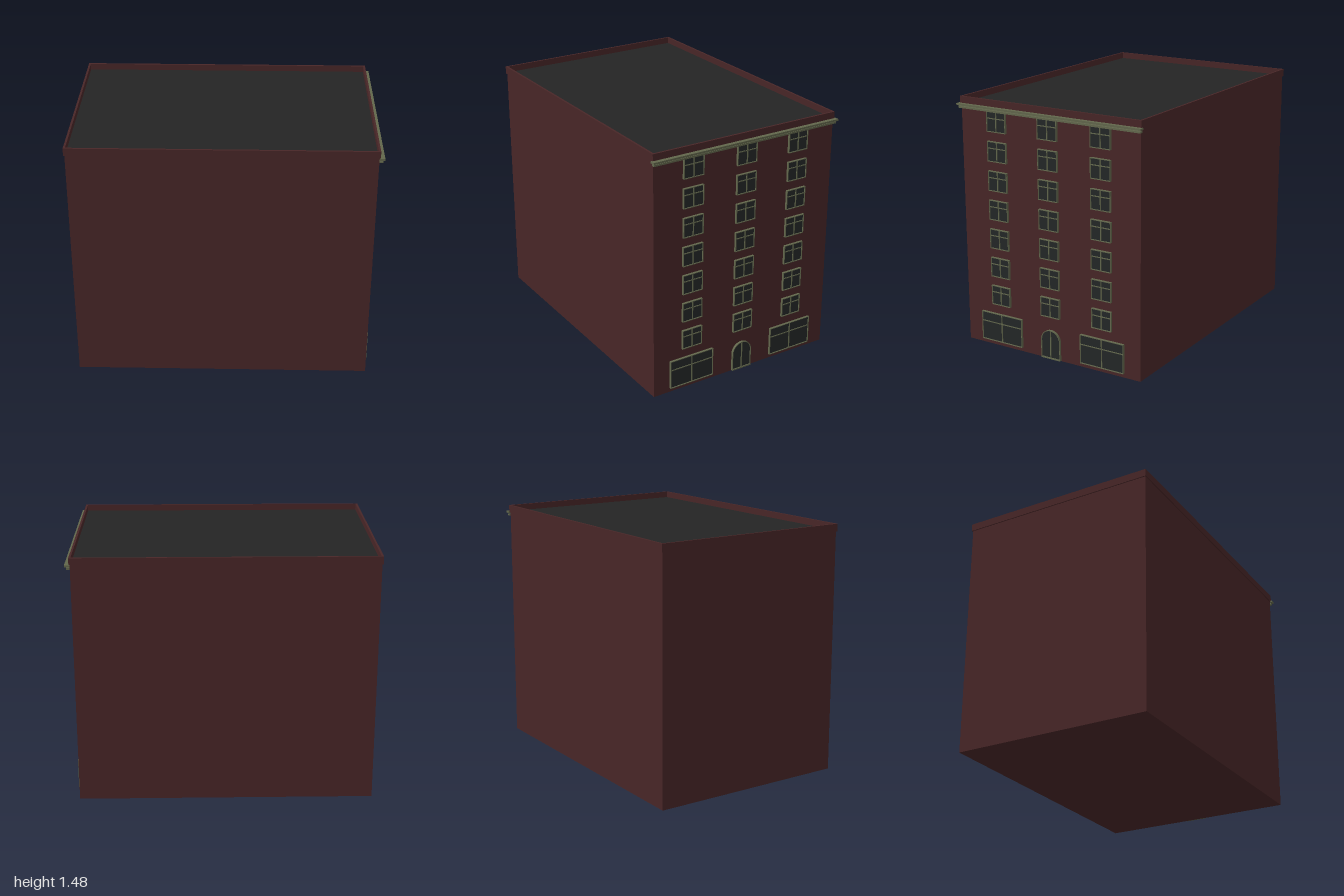
import * as THREE from 'three';

const material = (name, color) => {
  const m = new THREE.MeshStandardMaterial({ color });
  m.name = name;
  return m;
};

export function createModel() {
  const brick = material('dark red brick', 0x482627);
  const roofing = material('charcoal roof', 0x242424);
  const glass = material('dark glass', 0x242727);
  const trim = material('olive trim', 0x62674c);

  const model = new THREE.Group();
  model.name = 'apartmentBuilding';

  // The building stands turned about the vertical axis
  const building = new THREE.Group();
  building.name = 'building';
  building.rotation.y = -0.2425;
  building.position.set(-0.015, 0, -0.01);
  model.add(building);

  const add = (parent, name, geometry, mat, x = 0, y = 0, z = 0) => {
    const mesh = new THREE.Mesh(geometry, mat);
    mesh.name = name;
    mesh.position.set(x, y, z);
    parent.add(mesh);
    return mesh;
  };
  const box = (parent, name, mat, w, h, d, x, y, z) =>
    add(parent, name, new THREE.BoxGeometry(w, h, d), mat, x, y, z);

  // Walls and sunken roof
  const halfL = 0.86, halfW = 0.595;
  box(building, 'walls', brick, halfL * 2, 1.432, halfW * 2, 0, 0.716, 0);
  box(building, 'roof', roofing, 1.71, 0.006, 1.18, 0, 1.435, 0);

  // Parapet: a slightly overhanging ring
  const rectangle = (Type, a, b) => new Type([[-a, -b], [a, -b], [a, b], [-a, b]]
    .map(([x, y]) => new THREE.Vector2(x, y)));
  const ring = rectangle(THREE.Shape, 0.866, 0.601);
  ring.holes.push(rectangle(THREE.Path, 0.854, 0.589));
  const parapetGeometry = new THREE.ExtrudeGeometry(ring, { depth: 0.045, bevelEnabled: false });
  parapetGeometry.rotateX(-Math.PI / 2);
  add(building, 'parapet', parapetGeometry, brick, 0, 1.43, 0);

  // Facade group: x runs along the wall, z points outward
  const facade = new THREE.Group();
  facade.name = 'facade';
  facade.rotation.y = Math.PI / 2;
  facade.position.x = halfL;
  building.add(facade);

  // Two-step cornice
  box(facade, 'upperCornice', trim, 1.22, 0.011, 0.03, 0, 1.431, 0.015);
  box(facade, 'lowerCornice', trim, 1.205, 0.01, 0.02, 0, 1.414, 0.01);

  // Rectangular window with frame, mullion and transom
  const depth = 0.014;
  const makeWindow = (name, x, bottom, w, h, transom) => {
    const g = new THREE.Group();
    g.name = name;
    g.position.set(x, bottom, 0);
    facade.add(g);
    const t = 0.004;
    box(g, 'pane', glass, w - t, h - t, 0.008, 0, h / 2, 0.004);
    for (const s of [-1, 1]) {
      box(g, 'frameSide', trim, t, h, depth, s * (w - t) / 2, h / 2, depth / 2);
      box(g, 'frameRail', trim, w, t, depth, 0, h / 2 + s * (h - t) / 2, depth / 2);
    }
    box(g, 'mullion', trim, 0.006, h - t, depth - 0.001, 0, h / 2, (depth - 0.001) / 2);
    box(g, 'transom', trim, w - t, 0.005, depth - 0.002, 0, h * transom, (depth - 0.002) / 2);
  };
  for (let floor = 0; floor < 7; floor++) {
    for (const x of [-0.347, 0, 0.347]) {
      makeWindow('window', x, 0.257 + floor * 0.1726, 0.13, 0.118, 0.66);
    }
  }
  for (const x of [-0.347, 0.347]) makeWindow('shopWindow', x, 0.025, 0.288, 0.175, 0.66);

  // Arched double door
  const arch = (Type, r, bottom, spring) => {
    const p = new Type();
    p.moveTo(-r, bottom);
    p.lineTo(r, bottom);
    p.lineTo(r, spring);
    p.absarc(0, spring, r, 0, Math.PI, false);
    p.lineTo(-r, bottom);
    return p;
  };
  const door = new THREE.Group();
  door.name = 'door';
  facade.add(door);
  const extrude = (shape, d) =>
    new THREE.ExtrudeGeometry(shape, { depth: d, bevelEnabled: false, curveSegments: 16 });
  const frame = arch(THREE.Shape, 0.065, 0.002, 0.113);
  frame.holes.push(arch(THREE.Path, 0.061, 0.01, 0.113));
  add(door, 'doorFrame', extrude(frame, depth), trim);
  add(door, 'doorPanel', extrude(arch(THREE.Shape, 0.063, 0.004, 0.113), 0.008), glass);
  box(door, 'doorMullion', trim, 0.006, 0.168, depth - 0.001, 0, 0.09, (depth - 0.001) / 2);

  return model;
}
